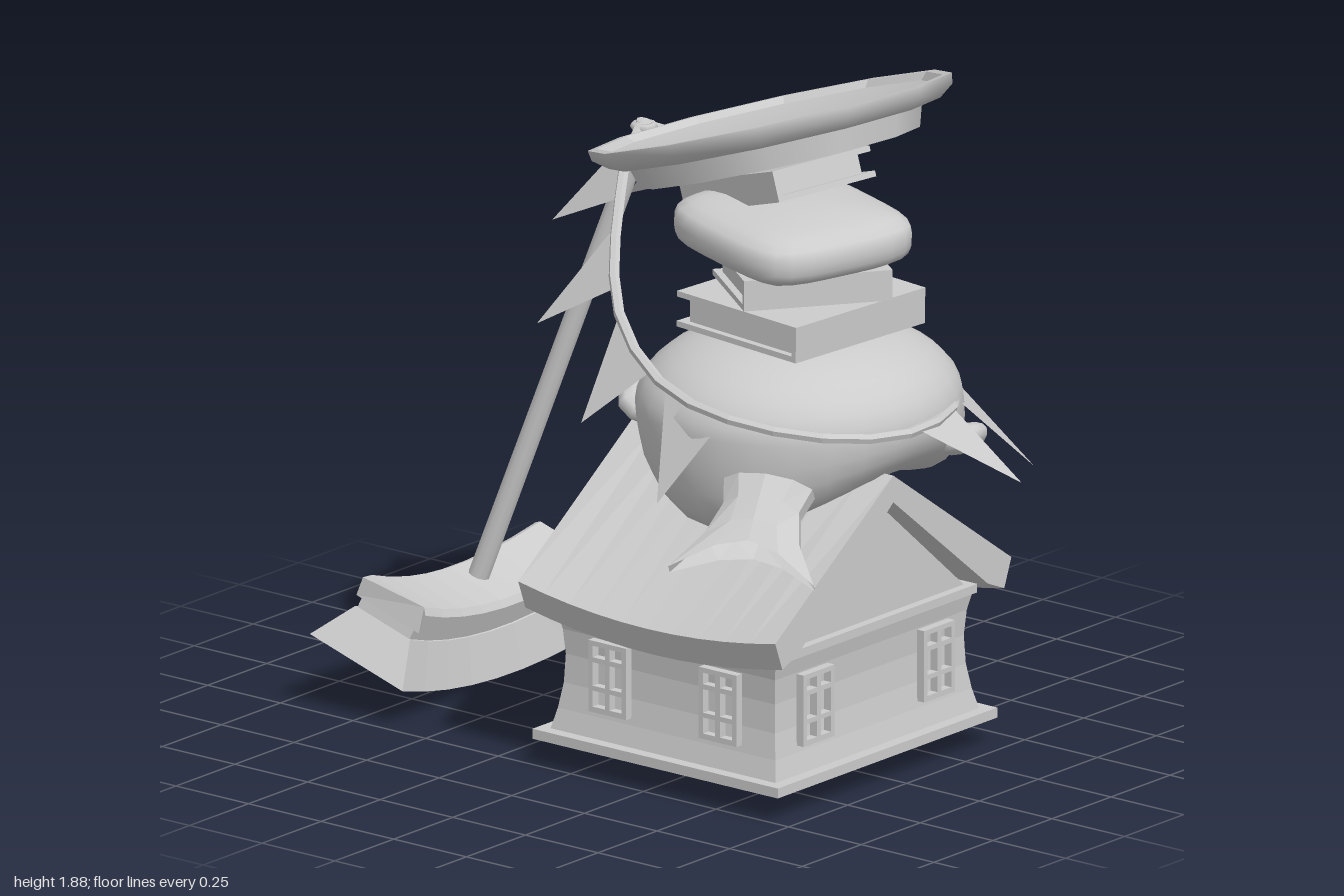
import * as THREE from 'three';
import { mergeVertices } from 'three/addons/utils/BufferGeometryUtils.js';

const V = (x, y, z) => new THREE.Vector3(x, y, z);
const smooth = new THREE.MeshStandardMaterial({ color: 0xcccccc });
const flat = new THREE.MeshStandardMaterial({ color: 0xcccccc, flatShading: true });
const thin = new THREE.MeshStandardMaterial({ color: 0xcccccc, flatShading: true, side: THREE.DoubleSide });

function add(parent, name, geo, mat = flat, x = 0, y = 0, z = 0) {
  const m = new THREE.Mesh(geo, mat);
  m.name = name;
  m.position.set(x, y, z);
  parent.add(m);
  return m;
}
function group(parent, name, x = 0, y = 0, z = 0) {
  const g = new THREE.Group();
  g.name = name;
  g.position.set(x, y, z);
  parent.add(g);
  return g;
}
// Move every vertex by a rule, weld the seams and rebuild normals
function bend(geo, rule) {
  const p = geo.attributes.position, v = V(0, 0, 0);
  for (let i = 0; i < p.count; i++) {
    rule(v.fromBufferAttribute(p, i));
    p.setXYZ(i, v.x, v.y, v.z);
  }
  geo.deleteAttribute('uv');
  geo.deleteAttribute('normal');
  geo = mergeVertices(geo, 1e-4);
  geo.computeVertexNormals();
  return geo;
}
const rect = (C, x, y, w, h) => new C([[-1, -1], [1, -1], [1, 1], [-1, 1]]
  .map(([a, b]) => new THREE.Vector2(x + a * w / 2, y + b * h / 2)));
// Rectangular panel in xy with rectangular holes [x, y, w, h]
function panel(w, h, depth, holes) {
  const s = rect(THREE.Shape, 0, 0, w, h);
  holes.forEach(o => s.holes.push(rect(THREE.Path, ...o)));
  return new THREE.ExtrudeGeometry(s, { depth, bevelEnabled: false });
}

function house(root) {
  const g = group(root, 'house', 0.29, 0, 0.035);
  // Flared walls: a four-sided lathe
  const pts = [[1.085, 0.08], [1.04, 0.15], [1.01, 0.22], [1, 0.3], [1.015, 0.37], [1.05, 0.43]]
    .map(([r, y]) => new THREE.Vector2(r * Math.SQRT2, y));
  add(g, 'walls', new THREE.LatheGeometry(pts, 4, Math.PI / 4).scale(0.36, 1, 0.4), thin);
  // Base moulding and wall-top trim
  const ring = (name, w, d, y, h) => add(g, name,
    panel(w, d, h, [[0, 0, w - 0.08, d - 0.08]]).rotateX(-Math.PI / 2), flat, 0, y, 0);
  ring('baseMoulding', 0.845, 0.93, 0.065, 0.028);
  ring('wallTrim', 0.78, 0.84, 0.42, 0.024);
  // Gable ends
  const tri = new THREE.Shape([[-0.41, 0.43], [0.41, 0.43], [0, 0.785]].map(p => new THREE.Vector2(...p)));
  for (const s of [-1, 1]) {
    const gable = new THREE.ExtrudeGeometry(tri, { depth: 0.02, bevelEnabled: false }).rotateY(Math.PI / 2);
    add(g, 'gable', gable, flat, s * 0.355 - 0.01, 0, 0);
  }
  // Roof with a straight ridge and sagging eaves
  const chevron = new THREE.Shape([[0, 0.86], [-0.5, 0.51], [-0.47, 0.43], [-0.4, 0.46], [0, 0.785],
    [0.4, 0.46], [0.47, 0.43], [0.5, 0.51]].map(p => new THREE.Vector2(...p)));
  const roof = new THREE.ExtrudeGeometry(chevron, { depth: 0.885, steps: 10, bevelEnabled: false })
    .translate(0, 0, -0.4425).rotateY(Math.PI / 2);
  add(g, 'roof', bend(roof, v => { if (Math.abs(v.z) > 0.41) v.y -= 0.045 * (1 - (v.x / 0.4425) ** 2); }));
  // Windows with two columns of panes
  const panes = [];
  for (const x of [-0.029, 0.029]) for (const [y, h] of [[-0.062, 0.045], [0.007, 0.066], [0.07, 0.032]])
    panes.push([x, y, 0.042, h]);
  const windowGeo = panel(0.13, 0.2, 0.024, panes);
  const place = (name, geo, x, z, turn, y) => { add(g, name, geo, flat, x, y, z).rotation.y = turn; };
  for (const s of [-1, 1]) {
    place('frontWindow', windowGeo, s * 0.19, 0.41, 0, 0.268);
    place('backWindow', windowGeo, s * 0.19, -0.41, Math.PI, 0.268);
    place('sideWindow', windowGeo, 0.37, s * 0.255, Math.PI / 2, 0.268);
  }
  place('sideWindow', windowGeo, -0.37, 0.24, -Math.PI / 2, 0.268);
  // Door and round gable window
  place('doorFrame', panel(0.17, 0.245, 0.027, [[0, -0.015, 0.12, 0.2]]), -0.37, 0, -Math.PI / 2, 0.215);
  place('door', panel(0.12, 0.22, 0.014, []), -0.368, 0, -Math.PI / 2, 0.2);
  place('roundWindow', new THREE.TorusGeometry(0.065, 0.016, 6, 12), -0.37, 0, -Math.PI / 2, 0.6);
  place('windowCross', new THREE.BoxGeometry(0.012, 0.12, 0.02), -0.37, 0, -Math.PI / 2, 0.6);
  place('windowCross', new THREE.BoxGeometry(0.12, 0.012, 0.02), -0.37, 0, -Math.PI / 2, 0.6);
}

function sack(root) {
  const g = group(root, 'sack', 0.34, 0.98, -0.05);
  // Body: domed top, with an underside that hangs over both roof slopes
  add(g, 'sackBody', bend(new THREE.SphereGeometry(1, 28, 18), v => {
    const h = Math.hypot(v.x, v.z), k = h > 1e-5 ? Math.pow(h, v.y > 0 ? 0.85 : 0.65) / h : 1;
    v.x *= 0.43 * k;
    v.z *= 0.455 * k;
    v.y *= v.y > 0 ? 0.21 : 0.19 + 1.55 * v.z * v.z;
    if (v.y < 0 && v.z < 0) v.z += v.y * 0.2;
  }), smooth);
  // Loose folds at both sides
  for (const [x, y, z, turn, s] of [[-0.4, -0.05, 0.14, -0.6, 1], [0.37, -0.1, -0.24, 0.6, 0.75]]) {
    const fold = add(g, 'sackFold', new THREE.SphereGeometry(1, 10, 8), smooth, x, y, z);
    fold.scale.set(0.08 * s, 0.05 * s, 0.11 * s);
    fold.rotation.z = turn;
  }
  // Gathered neck with a ragged open mouth lying on the front slope
  const neck = new THREE.CylinderGeometry(0.13, 0.13, 0.22, 10, 3, true);
  const mouth = add(root, 'sackMouth', bend(neck, v => {
    const t = 0.5 - v.y / 0.22, a = Math.atan2(v.z, v.x);
    const tip = Math.pow(Math.abs(Math.cos(a)), 3) * t * t;
    v.x *= 1 - 0.25 * Math.sin(Math.PI * t) + 0.75 * tip;
    v.z *= 0.55 - 0.2 * t;
    v.y -= 0.11 * tip - 0.02 * t;
  }), thin, 0.575, 0.79, 0.41);
  const down = V(0.22, -0.52, 0.6).normalize(), side = V(0.9, 0, -0.42);
  side.addScaledVector(down, -side.dot(down)).normalize();
  mouth.quaternion.setFromRotationMatrix(new THREE.Matrix4()
    .makeBasis(side, down.clone().negate(), side.clone().cross(down.clone().negate())));
}

// Book with its spine on +x and pages set in on the other sides
function book(parent, w, h, l, x, y, z, turn) {
  const g = group(parent, 'book', x, y, z);
  g.rotation.y = turn;
  const c = 0.016;
  for (const s of [-1, 1]) add(g, 'cover', new THREE.BoxGeometry(w, c, l), flat, 0, s * (h - c) / 2, 0);
  add(g, 'spine', new THREE.BoxGeometry(c, h, l), flat, (w - c) / 2, 0, 0);
  add(g, 'pages', new THREE.BoxGeometry(w - 0.05, h - c, l - 0.04), flat, 0.005, 0, 0);
  return g;
}

function stack(root) {
  const low = book(root, 0.44, 0.1, 0.5, 0.325, 1.225, -0.075, -0.08);
  low.rotation.z = -0.02;
  book(root, 0.34, 0.085, 0.41, 0.335, 1.325, -0.07, -0.64);
  // Plump cushion: a box inflated to a rounded block
  const pillow = add(root, 'cushion', bend(new THREE.BoxGeometry(2, 2, 2, 8, 6, 8), v => {
    const r = Math.pow(v.x ** 4 + v.y ** 4 + v.z ** 4, 0.25);
    v.divideScalar(r);
    const pinch = 1 - 0.25 * Math.max(v.x * v.x, v.z * v.z);
    v.multiply(V(0.27, 0.088 * pinch, 0.27));
  }), smooth, 0.33, 1.455, -0.035);
  pillow.rotation.set(0, -0.25, -0.07);

  // Tilted dish with a foot, and the book beneath it
  const g = group(root, 'dish', 0.17, 1.722, -0.135);
  g.rotation.set(-0.04, 0, 0.315);
  const lathe = (name, mat, pts) => add(g, name,
    new THREE.LatheGeometry(pts.map(p => new THREE.Vector2(...p)), 12, 0.1), mat);
  lathe('dishUnderside', smooth, [[0.38, -0.06], [0.455, -0.055], [0.495, -0.025], [0.5, 0.004]]);
  lathe('dishRim', flat, [[0.5, 0.004], [0.475, 0.004], [0.455, -0.015]]);
  lathe('dishBowl', smooth, [[0.455, -0.015], [0.36, -0.036], [0.2, -0.054], [0, -0.06]]);
  lathe('dishFootSide', smooth, [[0.385, -0.12], [0.405, -0.055]]);
  lathe('dishFootBottom', flat, [[0, -0.12], [0.385, -0.12]]);
  book(g, 0.32, 0.085, 0.46, 0.01, -0.174, 0.04, -1.85);
}

function broom(root) {
  const g = group(root, 'broom');
  const foot = V(-0.755, 0.27, -0.04), top = V(-0.3, 1.59, -0.19);
  const up = top.clone().sub(foot).normalize();
  const along = V(0.1, 0.08, 1).addScaledVector(up, -V(0.1, 0.08, 1).dot(up)).normalize();
  const wide = up.clone().cross(along);
  const handle = new THREE.CylinderGeometry(0.028, 0.03, foot.distanceTo(top), 10);
  const pole = add(g, 'broomHandle', handle, smooth);
  pole.position.copy(foot).lerp(top, 0.5);
  pole.quaternion.setFromUnitVectors(V(0, 1, 0), up);
  // Bowed head lofted along its length: profile rows are half width, height, half length
  const loft = (name, rows) => {
    const loop = [...rows, ...rows.map(([w, h, l]) => [-w, h, l]).reverse()], n = loop.length, S = 8;
    const pos = [], idx = [];
    for (let i = 0; i <= S; i++) for (const [w, h, l] of loop) {
      const u = i / S * 2 - 1;
      pos.push(...V(-0.75, 0.278, -0.035).addScaledVector(along, u * l)
        .addScaledVector(up, h + 0.06 * u * u).addScaledVector(wide, w).toArray());
    }
    for (let i = 0; i < S; i++) for (let j = 0; j < n; j++) {
      const a = i * n + j, b = i * n + (j + 1) % n;
      idx.push(a, b, a + n, b, b + n, a + n);
    }
    for (const o of [0, S * n]) for (let j = 1; j < n - 1; j++) idx.push(o, o + j, o + j + 1);
    const geo = new THREE.BufferGeometry();
    geo.setAttribute('position', new THREE.Float32BufferAttribute(pos, 3));
    geo.setIndex(idx);
    geo.computeVertexNormals();
    add(g, name, geo, thin);
  };
  loft('broomBlock', [[0.09, -0.035, 0.41], [0.108, -0.05, 0.42], [0.108, -0.105, 0.42]]);
  loft('broomBand', [[0.09, -0.105, 0.42], [0.09, -0.135, 0.425]]);
  loft('bristles', [[0.095, -0.13, 0.43], [0.16, -0.24, 0.495]]);
}

function bunting(root) {
  const g = group(root, 'bunting');
  // Cord looped around the sack and hooked over the handle
  const curve = new THREE.CatmullRomCurve3([[-0.31, 1.59, -0.18], [-0.21, 1.42, 0.04], [-0.02, 1.22, 0.27],
    [0.2, 1.09, 0.36], [0.45, 1.04, 0.37], [0.69, 1.01, 0.26], [0.785, 0.99, 0.05], [0.73, 0.99, -0.22],
    [0.54, 1.01, -0.42], [0.3, 1.08, -0.47], [0.05, 1.23, -0.45], [-0.14, 1.42, -0.4], [-0.25, 1.53, -0.3]]
    .map(p => V(...p)), true);
  add(g, 'cord', new THREE.TubeGeometry(curve, 26, 0.015, 6, true), flat);
  const knot = add(g, 'cordKnot', new THREE.TorusGeometry(0.026, 0.012, 6, 10), smooth, -0.305, 1.58, -0.185);
  knot.rotation.x = Math.PI / 2;
  // Triangular flags: position along the cord, then the tip
  const flags = [[0.045, -0.47, 1.33, 0], [0.135, -0.32, 1.13, 0.25], [0.225, -0.03, 0.95, 0.42],
    [0.31, 0.28, 0.8, 0.48], [0.545, 1, 0.84, -0.18], [0.63, 0.75, 0.75, -0.54], [0.72, 0.28, 0.8, -0.57],
    [0.8, -0.1, 0.98, -0.54], [0.87, -0.3, 1.13, -0.51], [0.94, -0.48, 1.32, -0.34]];
  for (const [u, ...tip] of flags) {
    const geo = new THREE.BufferGeometry()
      .setFromPoints([curve.getPointAt(u - 0.032), V(...tip), curve.getPointAt(u + 0.032)]);
    geo.computeVertexNormals();
    add(g, 'flag', geo, thin);
  }
}

export function createModel() {
  const root = new THREE.Group();
  root.name = 'stackedHouse';
  [house, sack, stack, broom, bunting].forEach(build => build(root));
  return root;
}
